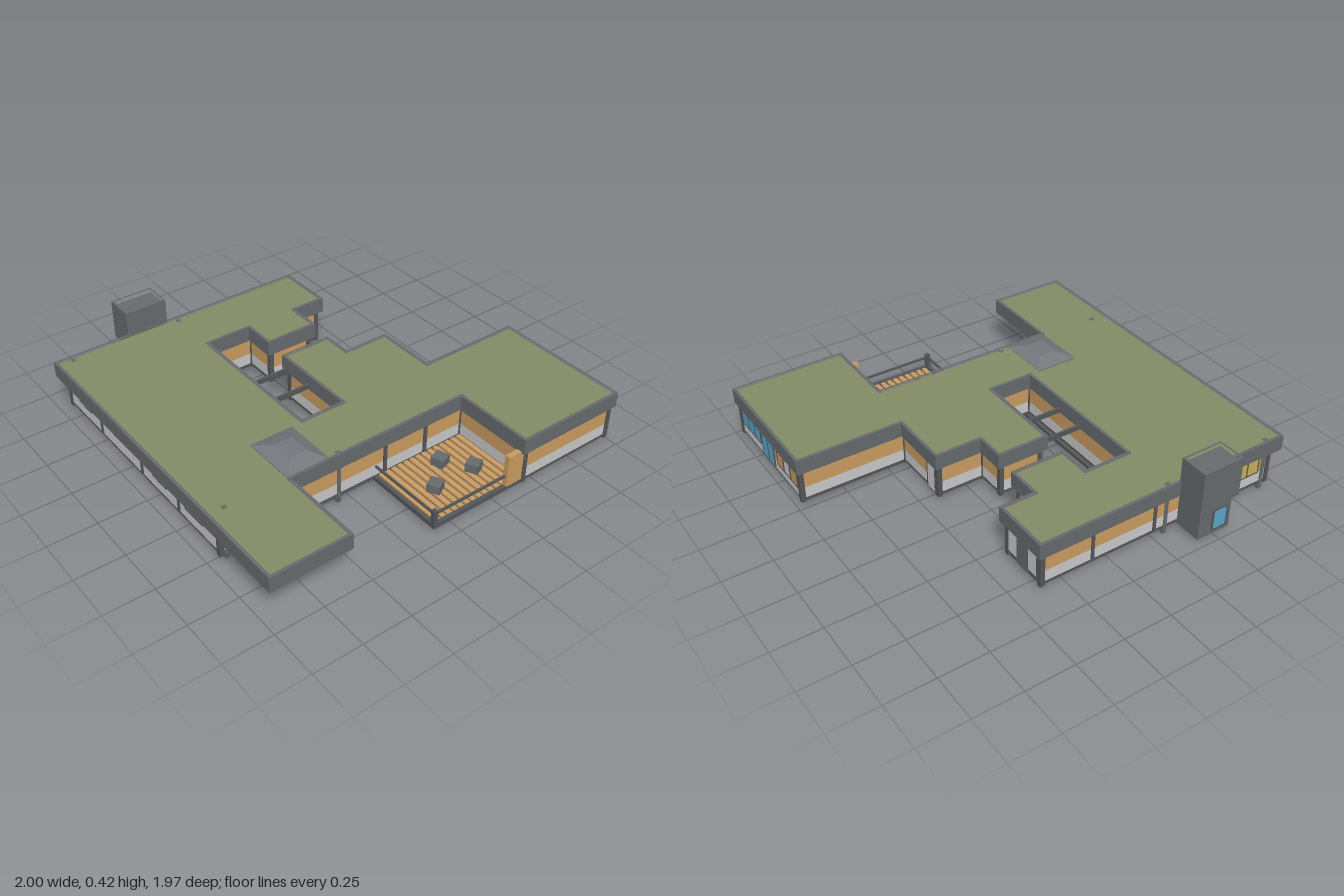
import * as THREE from 'three';

const mat = (color, opts = {}) => new THREE.MeshStandardMaterial({ color, ...opts });
const M = {
  dark: mat(0x686c6f), frame: mat(0x55585b), green: mat(0x848c66), wood: mat(0xcc9d62),
  light: mat(0xcccccc), glass: mat(0x5aa9cc), amber: mat(0xc9b060), slab: mat(0x85878a),
};

// Plan outlines as [x, z] corners
const ROOF = [[-1, -0.85], [0.4, -0.85], [0.4, -0.54], [0.22, -0.54], [0.22, -0.365], [-0.07, -0.365],
  [-0.07, -0.54], [-0.305, -0.54], [-0.305, 0.24], [-0.08, 0.24], [-0.08, -0.235], [0.2, -0.235],
  [0.2, -0.08], [0.445, -0.08], [0.445, 0.24], [0.995, 0.24], [0.995, 0.965], [0.39, 0.965],
  [0.39, 0.545], [-0.585, 0.545], [-0.585, 0.975], [-1, 0.975]];
const WALL = [[-0.94, -0.82], [0.37, -0.82], [0.37, -0.57], [0.19, -0.57], [0.19, -0.395], [-0.04, -0.395],
  [-0.04, -0.57], [-0.325, -0.57], [-0.325, 0.27], [-0.05, 0.27], [-0.05, -0.205], [0.17, -0.205],
  [0.17, -0.05], [0.415, -0.05], [0.415, 0.27], [0.97, 0.27], [0.97, 0.94], [0.42, 0.94],
  [0.42, 0.52], [-0.94, 0.52]];

// Moves every edge of a right-angled outline inwards by d
function inset(poly, d) {
  const n = poly.length;
  const normal = (a, b) => {
    const l = Math.hypot(b[0] - a[0], b[1] - a[1]);
    return [-(b[1] - a[1]) / l, (b[0] - a[0]) / l];
  };
  return poly.map((p, i) => {
    const a = normal(poly[(i + n - 1) % n], p), b = normal(p, poly[(i + 1) % n]);
    return [p[0] + d * (a[0] + b[0]), p[1] + d * (a[1] + b[1])];
  });
}

// Flat plate from y0 to y1, optionally with a hole
function plate(poly, y0, y1, hole) {
  const pts = (p) => p.map(([x, z]) => new THREE.Vector2(x, -z));
  const shape = new THREE.Shape(pts(poly));
  if (hole) shape.holes.push(new THREE.Path(pts(hole)));
  const g = new THREE.ExtrudeGeometry(shape, { depth: y1 - y0, bevelEnabled: false });
  g.rotateX(-Math.PI / 2);
  g.translate(0, y0, 0);
  return g;
}

export function createModel() {
  const model = new THREE.Group();
  const add = (name, geo, material, parent = model) => {
    const m = new THREE.Mesh(geo, material);
    m.name = name;
    parent.add(m);
    return m;
  };
  // Box given by its limits
  const box = (name, x0, x1, y0, y1, z0, z1, material, parent) => {
    const m = add(name, new THREE.BoxGeometry(x1 - x0, y1 - y0, z1 - z0), material, parent);
    m.position.set((x0 + x1) / 2, (y0 + y1) / 2, (z0 + z1) / 2);
    return m;
  };
  const group = (name) => {
    const g = new THREE.Group();
    g.name = name;
    model.add(g);
    return g;
  };

  // Flat roof with a raised rim and green covering
  add('roofFascia', plate(ROOF, 0.21, 0.275), M.dark);
  add('roofRim', plate(ROOF, 0.275, 0.29, inset(ROOF, 0.015)), M.dark);
  add('roofCovering', plate(inset(ROOF, 0.014), 0.27, 0.282), M.green);

  // Floor plates and the beams below
  add('floorSlab', plate(WALL, 0.027, 0.05), M.frame);
  box('westFloor', -0.935, -0.325, 0.023, 0.028, -0.815, 0.515, M.slab);
  box('roomFloor', -0.04, 0.41, 0.023, 0.028, -0.045, 0.26, M.wood);
  for (const x of [-0.91, -0.315]) {
    box('floorBeam', x - 0.008, x + 0.008, 0.008, 0.027, -0.82, 0.53, M.frame);
    for (const z of [-0.82, 0.52]) box('roofPost', x - 0.01, x + 0.01, 0, 0.286, z - 0.01, z + 0.01, M.dark);
  }

  // Walls: sill band, timber band, top band
  const walls = group('walls');
  WALL.forEach(([x0, z0], i) => {
    const [x1, z1] = WALL[(i + 1) % WALL.length], t = 0.006;
    const band = (name, y0, y1, m, e) => box(name, Math.min(x0, x1) - e, Math.max(x0, x1) + e, y0, y1,
      Math.min(z0, z1) - e, Math.max(z0, z1) + e, m, walls);
    band('sillBand', 0.05, 0.11, M.light, t);
    band('timberBand', 0.11, 0.195, M.wood, t);
    band('topBand', 0.195, 0.21, M.light, t);
    box('cornerPost', x0 - 0.012, x0 + 0.012, 0.03, 0.21, z0 - 0.012, z0 + 0.012, M.frame, walls);
  });

  // Intermediate wall posts
  for (const x of [-0.65, -0.25, 0.1]) box('wallPost', x - 0.008, x + 0.008, 0.05, 0.21, -0.832, -0.81, M.frame, walls);
  for (const x of [-0.05, 0.19]) box('wallPost', x - 0.009, x + 0.009, 0.05, 0.21, 0.51, 0.534, M.frame, walls);
  for (const z of [-0.5, -0.12, 0.2]) box('wallPost', -0.952, -0.93, 0.05, 0.21, z - 0.008, z + 0.008, M.frame, walls);

  // Framed panes in a wall facing x (axis 'x') or z, between a and b
  const windows = group('windows');
  function pane(axis, at, a, b, y0, y1, material, bars = 1) {
    const put = (name, u0, u1, v0, v1, d, m) => (axis === 'x'
      ? box(name, at - d, at + d, v0, v1, u0, u1, m, windows)
      : box(name, u0, u1, v0, v1, at - d, at + d, m, windows));
    const f = 0.006;
    put('pane', a, b, y0, y1, 0.009, material);
    for (let i = 0; i <= bars; i++) {
      const u = a + (b - a) * i / bars;
      put('windowBar', u - f / 2, u + f / 2, y0, y1, 0.011, M.frame);
    }
    for (const y of [y0, y1]) put('windowBar', a, b, y - f / 2, y + f / 2, 0.011, M.frame);
  }
  pane('x', 0.97, 0.7, 0.915, 0.105, 0.2, M.glass, 3);
  pane('x', 0.97, 0.55, 0.685, 0.055, 0.2, M.glass, 2);
  pane('x', 0.97, 0.29, 0.51, 0.1, 0.195, M.wood, 3);
  pane('x', 0.97, 0.37, 0.44, 0.1, 0.195, M.light, 1);
  pane('x', 0.415, -0.03, 0.04, 0.035, 0.205, M.light, 1);
  pane('x', 0.37, -0.65, -0.58, 0.06, 0.2, M.light, 1);
  pane('x', 0.37, -0.8, -0.73, 0.06, 0.2, M.light, 1);
  box('darkPanel', 0.36, 0.382, 0.04, 0.21, -0.73, -0.65, M.dark, windows);
  pane('z', -0.82, -0.88, -0.74, 0.11, 0.2, M.amber, 2);
  pane('x', -0.94, -0.72, -0.6, 0.11, 0.2, M.glass, 2);
  pane('x', -0.94, -0.02, 0.1, 0.11, 0.2, M.glass, 2);
  pane('x', -0.94, 0.26, 0.4, 0.11, 0.2, M.glass, 2);

  // Entrance box under the front overhang
  box('entranceBox', -0.83, -0.745, 0.03, 0.21, 0.52, 0.78, M.dark);
  box('entranceBox', -0.741, -0.66, 0.03, 0.21, 0.52, 0.78, M.dark);

  // Chimney: narrow base and wider hollow top
  box('chimneyBase', -0.575, -0.39, 0.025, 0.21, -0.97, -0.82, M.dark);
  pane('z', -0.965, -0.55, -0.47, 0.05, 0.16, M.glass, 1);
  const chimney = [[-0.595, -0.99], [-0.37, -0.99], [-0.37, -0.84], [-0.595, -0.84]];
  add('chimneyTop', plate(chimney, 0.21, 0.39), M.dark);
  add('chimneyRim', plate(chimney, 0.39, 0.418, inset(chimney, 0.012)), M.dark);

  // Hipped skylight: four-sided frustum
  const sky = new THREE.CylinderGeometry(0.42, 1, 0.028, 4, 1);
  sky.rotateY(Math.PI / 4);
  sky.scale(0.225 / Math.SQRT2, 1, 0.285 / Math.SQRT2);
  add('skylight', sky.toNonIndexed(), mat(0x75797d, { flatShading: true })).position.set(-0.482, 0.297, 0.395);
  box('skylightCurb', -0.595, -0.37, 0.275, 0.284, 0.25, 0.54, M.dark);

  // Beams across the courtyard
  for (const z of [-0.19, -0.02]) box('courtyardBeam', -0.31, -0.075, 0.215, 0.24, z - 0.006, z + 0.006, M.frame);

  // Slatted deck with edge boards, railing and end screen
  const deck = group('deck');
  for (let i = 0; i < 14; i++) {
    const x = -0.085 + i * 0.0365;
    box('deckSlat', x, x + 0.024, 0.037, 0.048, 0.53, 0.935, M.wood, deck);
  }
  box('deckEdge', -0.115, -0.095, 0.028, 0.052, 0.53, 0.945, M.frame, deck);
  box('deckEdge', -0.115, 0.42, 0.028, 0.052, 0.925, 0.945, M.frame, deck);
  box('railPost', -0.115, -0.092, 0.05, 0.125, 0.92, 0.943, M.frame, deck);
  box('handrail', -0.105, 0.32, 0.1, 0.11, 0.927, 0.938, M.frame, deck);
  box('handrail', -0.11, -0.1, 0.1, 0.11, 0.53, 0.935, M.frame, deck);
  box('endScreen', 0.315, 0.43, 0.05, 0.218, 0.922, 0.948, M.wood, deck);

  // Stools on the deck
  for (const [x, z, r] of [[0.05, 0.765, 0.5], [0.19, 0.64, 0.3], [0.285, 0.765, 0.45]]) {
    const s = add('stool', new THREE.BoxGeometry(0.065, 0.045, 0.065), M.dark, deck);
    s.position.set(x, 0.071, z);
    s.rotation.y = r;
  }
  return model;
}
